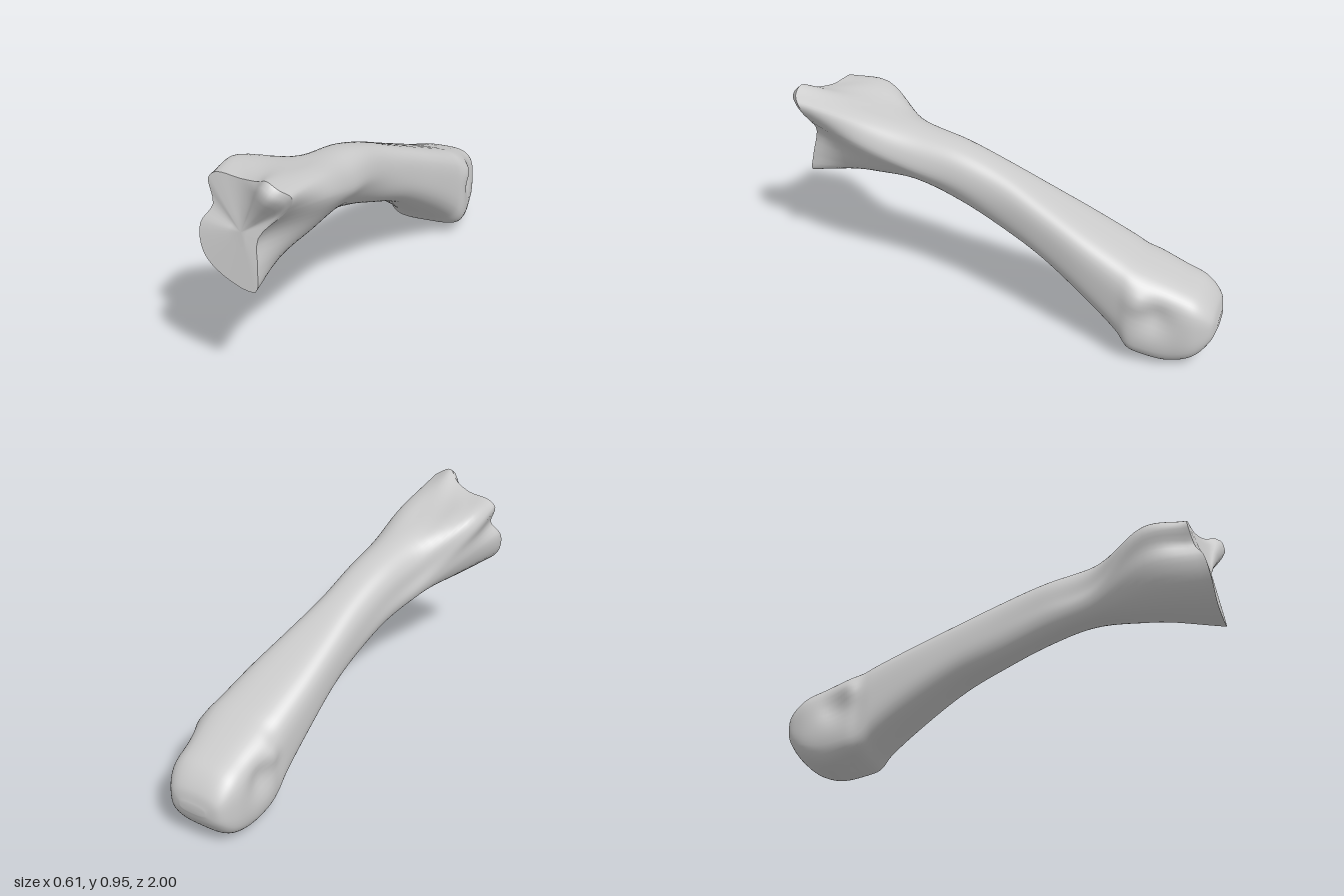
import * as THREE from 'three';

const SIDES = 16;   // control points per cross-section
const AROUND = 64;  // resampled points per ring
const STEPS = 90;   // rings along the shaft

// Stations along the bone: z, xMin, xMax, yTop, yBottom,
// squareness exponent of upper and lower half, sideways lean of the underside
const stations = [
  [-1.0, 0.03, 0.15, 0.215, 0.175, 0.7, 0.7, 0],
  [-0.98, -0.035, 0.21, 0.275, 0.12, 0.65, 0.65, 0],
  [-0.915, -0.07, 0.255, 0.343, 0.04, 0.6, 0.6, 0],
  [-0.81, -0.085, 0.275, 0.388, 0.0, 0.6, 0.6, 0],
  [-0.7, -0.095, 0.293, 0.43, 0.025, 0.6, 0.5, 0],
  [-0.64, -0.09, 0.295, 0.452, 0.05, 0.6, 0.45, 0],
  [-0.58, -0.095, 0.278, 0.477, 0.1, 0.6, 0.6, 0],
  [-0.4, -0.1, 0.235, 0.55, 0.225, 0.6, 0.75, 0],
  [-0.2, -0.1, 0.18, 0.632, 0.345, 0.65, 0.8, 0],
  [0.0, -0.105, 0.135, 0.715, 0.425, 0.75, 0.85, 0.01],
  [0.2, -0.125, 0.12, 0.782, 0.495, 0.8, 0.95, 0.03],
  [0.42, -0.165, 0.12, 0.825, 0.54, 0.85, 1.05, 0.06],
];

// Flared section behind the joint: x, y counter-clockwise from the +x side
const flare = [
  [0.12, 0.76], [0.115, 0.81], [0.09, 0.85], [0.04, 0.87],
  [-0.03, 0.875], [-0.12, 0.88], [-0.21, 0.892], [-0.275, 0.885],
  [-0.3, 0.84], [-0.285, 0.77], [-0.28, 0.69], [-0.24, 0.6],
  [-0.16, 0.54], [-0.07, 0.53], [0.0, 0.57], [0.07, 0.67],
];

// Rim of the joint face: x, y, z in the same order
const rim = [
  [0.045, 0.8, 0.925], [0.08, 0.85, 0.93], [0.085, 0.89, 0.95], [0.05, 0.92, 0.975],
  [0.0, 0.945, 0.97], [-0.06, 0.915, 0.925], [-0.15, 0.897, 0.885], [-0.265, 0.895, 0.86],
  [-0.298, 0.865, 0.86], [-0.27, 0.77, 0.885], [-0.31, 0.7, 0.92], [-0.29, 0.59, 0.945],
  [-0.2, 0.51, 0.96], [-0.055, 0.48, 0.985], [-0.05, 0.57, 0.97], [-0.055, 0.69, 0.945],
];

const signedPow = (v, e) => Math.sign(v) * Math.pow(Math.abs(v), e);
const spot = (du, dv, r) => Math.exp(-(du * du + dv * dv) / (r * r));

function stationRing([z, x0, x1, top, bottom, eTop, eBottom, lean]) {
  return Array.from({ length: SIDES }, (_, j) => {
    const a = (j / SIDES) * Math.PI * 2;
    const e = j < SIDES / 2 ? eTop : eBottom;
    return new THREE.Vector3(
      (x0 + x1) / 2 + ((x1 - x0) / 2) * signedPow(Math.cos(a), e) + lean * Math.min(0, Math.sin(a)),
      (top + bottom) / 2 + ((top - bottom) / 2) * signedPow(Math.sin(a), e),
      z
    );
  });
}

// Ligament pits and the small bumps above them on both sides of the rounded end
function carveSides(p) {
  const side = THREE.MathUtils.clamp((p.x - 0.095) / 0.19, -1, 1);
  const bump = 0.014 * spot(p.y - 0.33, p.z + 0.68, 0.05);
  const pit = 0.03 * spot(p.y - 0.26, p.z + 0.76, 0.07);
  p.x += signedPow(side, 3) * (bump - pit);
  return p;
}

// Joins consecutive rings, optionally closing either end with a fan
function loft(rings, startTip, endTip) {
  const n = rings[0].length;
  const points = rings.flat();
  const index = [];
  for (let i = 0; i < rings.length - 1; i++) {
    for (let j = 0; j < n; j++) {
      const a = i * n + j, b = i * n + ((j + 1) % n);
      index.push(a, b, a + n, b, b + n, a + n);
    }
  }
  const last = (rings.length - 1) * n;
  if (startTip) {
    const c = points.push(startTip) - 1;
    for (let j = 0; j < n; j++) index.push(c, (j + 1) % n, j);
  }
  if (endTip) {
    const c = points.push(endTip) - 1;
    for (let j = 0; j < n; j++) index.push(c, last + j, last + ((j + 1) % n));
  }
  const geometry = new THREE.BufferGeometry().setFromPoints(points);
  geometry.setIndex(index);
  geometry.computeVertexNormals();
  return geometry;
}

export function createModel() {
  const group = new THREE.Group();
  group.name = 'footBone';
  const material = new THREE.MeshStandardMaterial({ color: 0xcccccc, side: THREE.DoubleSide });

  // Control sections from the rounded end to the joint rim
  const sections = stations.map(stationRing);
  sections.push(flare.map(([x, y]) => new THREE.Vector3(x, y, 0.67)));
  sections.push(rim.map((p) => new THREE.Vector3(...p)));

  // Smooth lengthwise through the sections, then around each ring
  const columns = Array.from({ length: SIDES }, (_, j) =>
    new THREE.CatmullRomCurve3(sections.map((s) => s[j]), false, 'centripetal'));
  const rings = Array.from({ length: STEPS + 1 }, (_, i) => {
    const ring = new THREE.CatmullRomCurve3(columns.map((c) => c.getPoint(i / STEPS)), true, 'centripetal');
    return Array.from({ length: AROUND }, (_, j) => carveSides(ring.getPoint(j / AROUND)));
  });

  // Shaft with the rounded end
  const shaft = new THREE.Mesh(loft(rings, new THREE.Vector3(0.09, 0.195, -1)), material);
  shaft.name = 'shaft';
  group.add(shaft);

  // Joint face with a blunt lip under its peak, kept separate so the rim stays sharp
  const center = new THREE.Vector3(-0.13, 0.7, 0.94);
  const faceRings = [0, 0.08, 0.18, 0.3, 0.45, 0.7].map((t) => rings[STEPS].map((p) => {
    const q = p.clone().lerp(center, t);
    if (t > 0) q.z += 0.033 * spot(q.x - 0.01, q.y - 0.88, 0.075);
    return q;
  }));
  const face = new THREE.Mesh(loft(faceRings, null, center), material);
  face.name = 'jointFace';
  group.add(face);

  return group;
}
